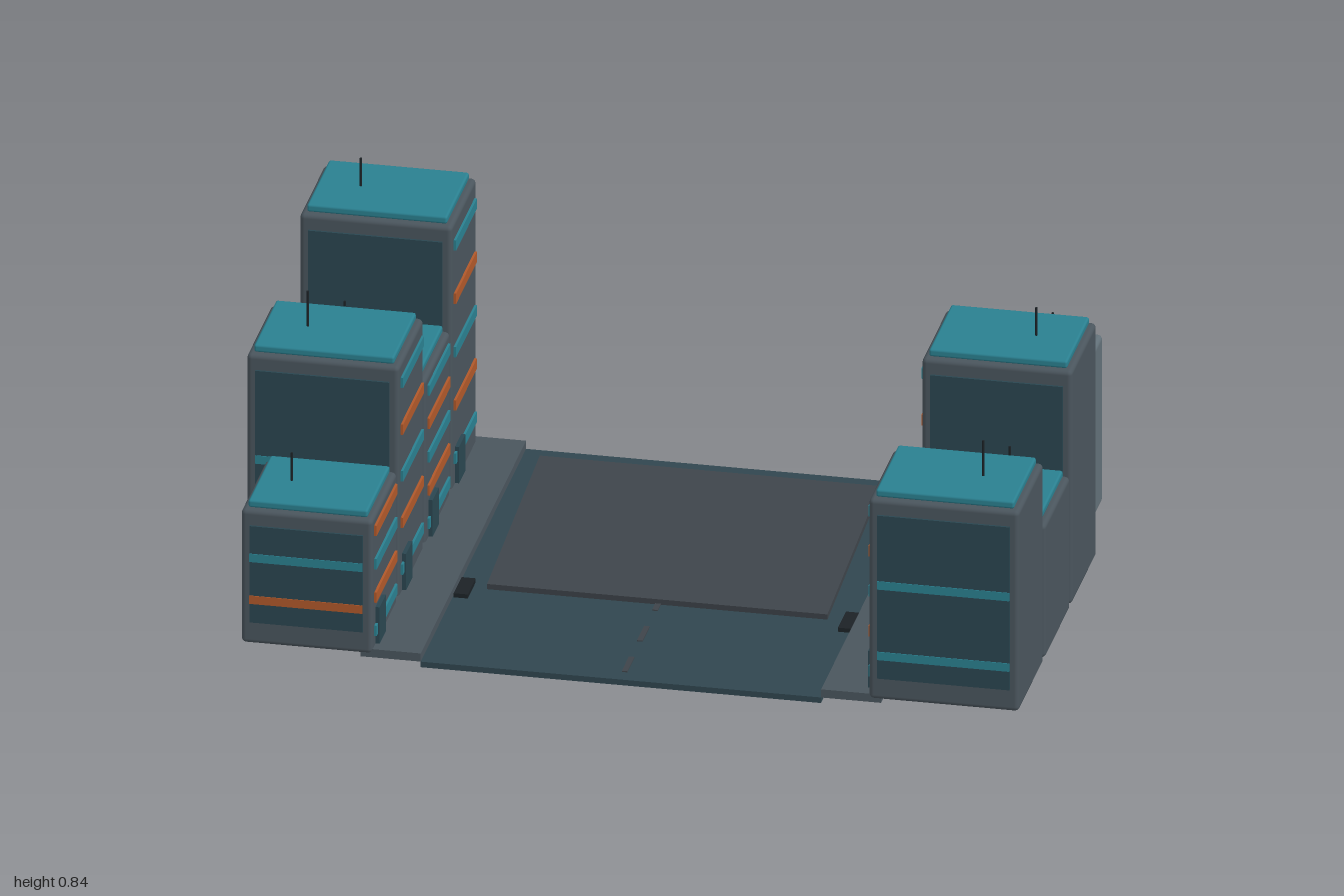
import * as THREE from 'three';
import { RoundedBoxGeometry } from 'three/addons/geometries/RoundedBoxGeometry.js';

const paint = (color) => new THREE.MeshStandardMaterial({ color });
const MAT = {
  wall: paint(0x4a555d), paleWall: paint(0x627078), glass: paint(0x2a4650),
  teal: paint(0x2a8090), orange: paint(0xb0582a), yellow: paint(0xe2b93b),
  road: paint(0x30464f), pavement: paint(0x4a555d), deck: paint(0x3e444a), dark: paint(0x1c2226),
};

// Box placed by its centre; a radius rounds its edges
function box(parent, name, mat, [w, h, d], [x, y, z], radius = 0) {
  const geo = radius ? new RoundedBoxGeometry(w, h, d, 2, radius) : new THREE.BoxGeometry(w, h, d);
  const mesh = new THREE.Mesh(geo, mat);
  mesh.name = name;
  mesh.position.set(x, y, z);
  parent.add(mesh);
  return mesh;
}

const BASE = 0.025, DEPTH = 0.295, INNER = 0.62;

// One tower block; side is +1 or -1, with its inner wall towards the street
function building({ side, z, floors, width, mast, low = 'teal', roof = 'teal', wall = 'wall' }) {
  const g = new THREE.Group();
  g.name = 'building';
  const h = floors * 0.09, top = BASE + h;
  const cx = side * (INNER + width / 2);
  box(g, 'walls', MAT[wall], [width, h, DEPTH], [cx, BASE + h / 2, z], 0.012);
  box(g, 'roofSlab', MAT[roof], [width - 0.03, 0.02, DEPTH - 0.03], [cx, top + 0.01, z], 0.006);

  const antenna = new THREE.Mesh(new THREE.CylinderGeometry(0.003, 0.003, mast, 8), MAT.dark);
  antenna.name = 'antenna';
  antenna.position.set(cx + side * 0.068, top + mast / 2, z);
  g.add(antenna);

  // Glazed front and back walls, each with two bands
  const glassH = h - 0.1;
  for (const s of [1, -1]) {
    const face = z + s * DEPTH / 2;
    box(g, 'glassWall', MAT.glass, [width - 0.045, glassH, 0.012], [cx, 0.085 + glassH / 2, face]);
    box(g, 'lowerBand', MAT[low], [width - 0.045, 0.022, 0.016], [cx, 0.147, face]);
    box(g, 'upperBand', MAT.teal, [width - 0.045, 0.022, 0.016],
      [cx, 0.26 + 0.43 * (h - 0.36), face]);
  }

  // Alternating bands and a door on the street wall
  const count = Math.min(floors, 5);
  for (let i = 0; i < count; i++) {
    box(g, 'streetBand', i % 2 ? MAT.orange : MAT.teal, [0.012, 0.028, 0.247],
      [side * INNER, BASE + (i + 0.59) * h / count, z]);
  }
  box(g, 'door', MAT.glass, [0.02, 0.11, 0.075], [side * INNER, BASE + 0.055, z + 0.07]);
  return g;
}

export function createModel() {
  const model = new THREE.Group();
  model.name = 'streetBlock';

  // Road, pavements and kerb blocks
  box(model, 'road', MAT.road, [1, 0.015, 1.25], [0, 0.0075, -0.004]);
  for (const s of [1, -1]) {
    box(model, 'pavement', MAT.pavement, [0.15, 0.022, 1.25], [s * 0.575, 0.026, -0.004]);
    box(model, 'kerbBlock', MAT.dark, [0.035, 0.012, 0.095], [s * 0.48, 0.02, 0.195]);
  }
  for (let i = 0; i < 7; i++) {
    box(model, 'laneMark', MAT.deck, [0.014, 0.004, 0.085], [0, 0.016, -0.545 + i * 0.18]);
  }

  // Sloping deck rising towards the back
  const deck = box(model, 'slopingDeck', MAT.deck, [0.85, 0.015, 0.628], [-0.002, 0.052, -0.132]);
  deck.rotation.x = 0.095;

  // Two rows of buildings
  const rows = [
    { side: 1, z: 0.479, floors: 6, width: 0.375, mast: 0.115 },
    { side: 1, z: 0.165, floors: 4, width: 0.375, mast: 0.135 },
    { side: 1, z: -0.15, floors: 7, width: 0.375, mast: 0.095, low: 'orange' },
    { side: 1, z: -0.463, floors: 5, width: 0.325, mast: 0.115, roof: 'yellow', wall: 'paleWall' },
    { side: -1, z: 0.479, floors: 4, width: 0.328, mast: 0.095, low: 'orange' },
    { side: -1, z: 0.165, floors: 7, width: 0.38, mast: 0.115 },
    { side: -1, z: -0.15, floors: 5, width: 0.328, mast: 0.125 },
    { side: -1, z: -0.463, floors: 8, width: 0.38, mast: 0.095, low: 'orange' },
  ];
  for (const r of rows) model.add(building(r));
  return model;
}
